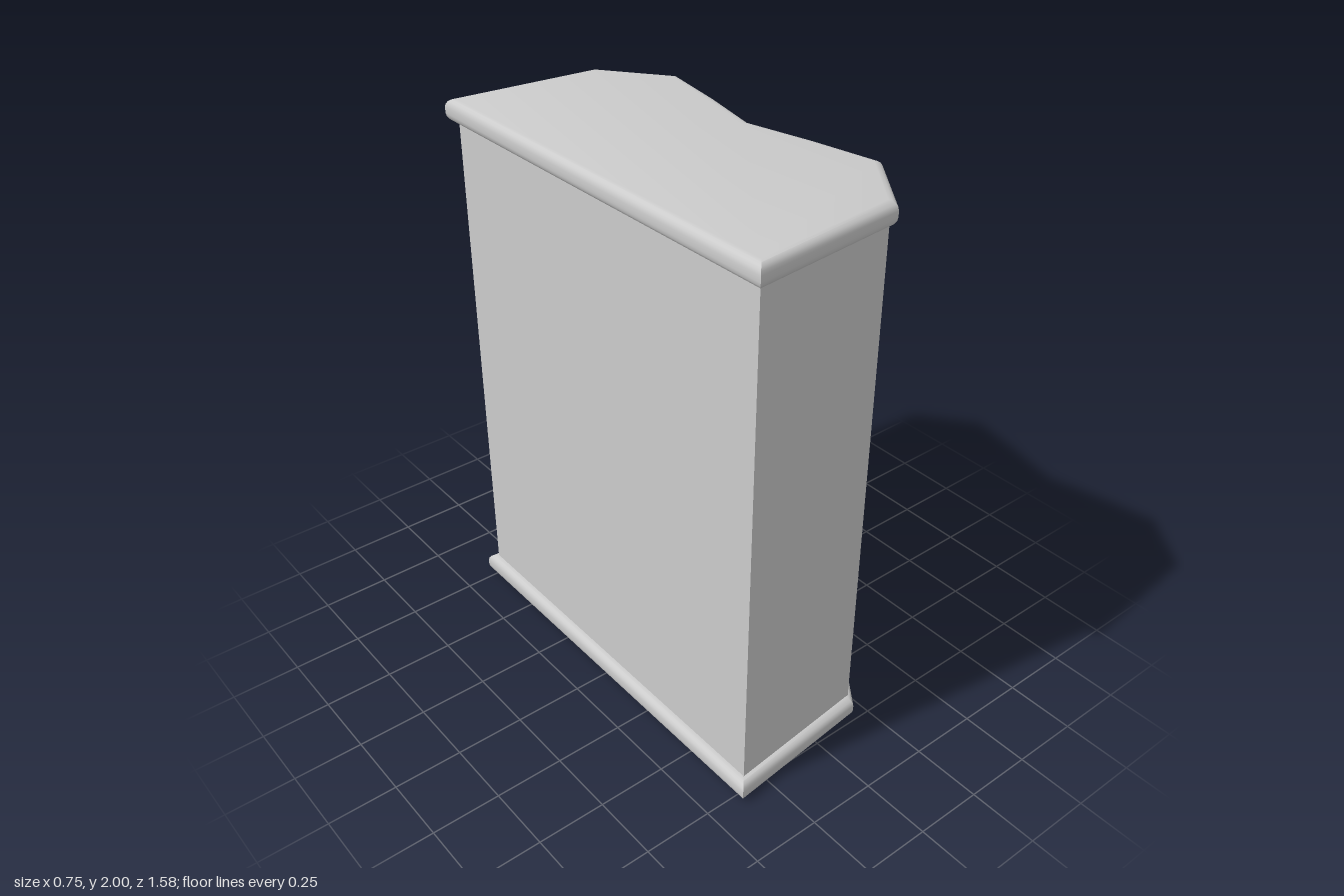
import * as THREE from 'three';
import { toCreasedNormals } from 'three/addons/utils/BufferGeometryUtils.js';

const material = new THREE.MeshStandardMaterial({ color: 0xcccccc, side: THREE.DoubleSide });

function add(parent, name, geometry) {
  const mesh = new THREE.Mesh(geometry, material);
  mesh.name = name;
  parent.add(mesh);
  return mesh;
}

// Vertical prism from a plan outline of [x, z] points, standing on y0
function prism(outline, y0, height, bevel = {}) {
  const shape = new THREE.Shape(outline.map(([x, z]) => new THREE.Vector2(x, -z)));
  const geometry = new THREE.ExtrudeGeometry(shape, { depth: height, bevelEnabled: false, ...bevel });
  geometry.rotateX(-Math.PI / 2).translate(0, y0, 0);
  return toCreasedNormals(geometry, 0.6);
}

// Upright loft through rounded cross-sections [y, centreX, halfX, halfZ]
function loft(sections, sides = 20, power = 0.75) {
  const positions = [], index = [];
  const round = (v) => Math.sign(v) * Math.abs(v) ** power;
  sections.forEach(([y, cx, hx, hz], j) => {
    for (let i = 0; i < sides; i++) {
      const t = (i / sides) * Math.PI * 2;
      positions.push(cx + hx * round(Math.cos(t)), y, hz * round(Math.sin(t)));
      if (j === sections.length - 1) continue;
      const a = j * sides + i, c = j * sides + ((i + 1) % sides);
      index.push(a, a + sides, c, c, a + sides, c + sides);
    }
  });
  const geometry = new THREE.BufferGeometry();
  geometry.setAttribute('position', new THREE.Float32BufferAttribute(positions, 3));
  geometry.setIndex(index);
  geometry.computeVertexNormals();
  return geometry;
}

export function createModel() {
  const model = new THREE.Group();
  model.name = 'wardrobe';

  // Top and base boards: rounded rim plus an inset step on the inner side
  const half = [[-0.38, 0.79], [0.19, 0.733], [0.375, 0.49], [0.33, 0.24]];
  const outline = [...half, [0.275, 0], ...half.map(([x, z]) => [x, -z]).reverse()];
  const rim = { bevelEnabled: true, bevelThickness: 0.03, bevelSize: 0.03, bevelOffset: -0.03, bevelSegments: 4 };
  const step = { bevelEnabled: true, bevelThickness: 0, bevelSize: 0, bevelOffset: -0.032, bevelSegments: 1 };
  add(model, 'baseBoard', prism(outline, 0.03, 0.02, rim));
  add(model, 'baseStep', prism(outline, 0.07, 0.04, step));
  add(model, 'topBoard', prism(outline, 1.95, 0.02, rim));
  add(model, 'topStep', prism(outline, 1.9, 0.04, step));

  // Thin back and side walls, open towards +x
  const wall = [[-0.35, 0.757], [0.19, 0.702], [0.19, 0.688], [-0.333, 0.74]];
  const walls = [...wall, ...wall.map(([x, z]) => [x, -z]).reverse()];
  add(model, 'cabinetWalls', prism(walls, 0.07, 1.86));

  // Hanging rail
  const railX = -0.06;
  const rail = add(model, 'hangingRail', new THREE.CylinderGeometry(0.034, 0.034, 1.4, 20));
  rail.rotation.x = Math.PI / 2;
  rail.position.set(railX, 1.63, 0);

  // Shared garment parts
  const body = loft([
    [0.3, 0, 0, 0], [0.3, 0, 0.165, 0.043], [0.335, 0, 0.172, 0.05], [0.6, 0, 0.172, 0.055],
    [0.95, 0, 0.175, 0.057], [1.25, 0, 0.19, 0.056], [1.38, 0, 0.215, 0.053], [1.45, 0, 0.215, 0.049],
    [1.5, 0, 0.18, 0.041], [1.53, 0, 0.13, 0.03], [1.55, 0, 0.06, 0.015], [1.555, 0, 0, 0],
  ]);
  const sleeve = loft([
    [1.035, 0.22, 0, 0], [1.06, 0.22, 0.025, 0.006], [1.1, 0.218, 0.04, 0.015], [1.18, 0.213, 0.05, 0.023],
    [1.28, 0.208, 0.056, 0.028], [1.38, 0.195, 0.062, 0.032], [1.45, 0.173, 0.06, 0.032],
    [1.5, 0.14, 0.05, 0.026], [1.53, 0.11, 0.03, 0.014], [1.535, 0.1, 0, 0],
  ]);
  const hookPath = new THREE.CatmullRomCurve3([
    [0.048, 1.65], [0.045, 1.69], [0, 1.72], [-0.045, 1.69], [-0.048, 1.63], [-0.03, 1.59], [0, 1.57], [0, 1.53],
  ].map(([x, y]) => new THREE.Vector3(x, y, 0)));
  const hook = new THREE.TubeGeometry(hookPath, 28, 0.011, 8);

  // Row of coats along the rail
  for (let i = 0; i < 9; i++) {
    const coat = new THREE.Group();
    coat.name = 'coat';
    coat.position.set(railX, 0, 0.54 - i * 0.1444);
    add(coat, 'coatBody', body);
    add(coat, 'outerSleeve', sleeve);
    add(coat, 'innerSleeve', sleeve).rotation.y = Math.PI;
    add(coat, 'hangerHook', hook);
    model.add(coat);
  }
  return model;
}
